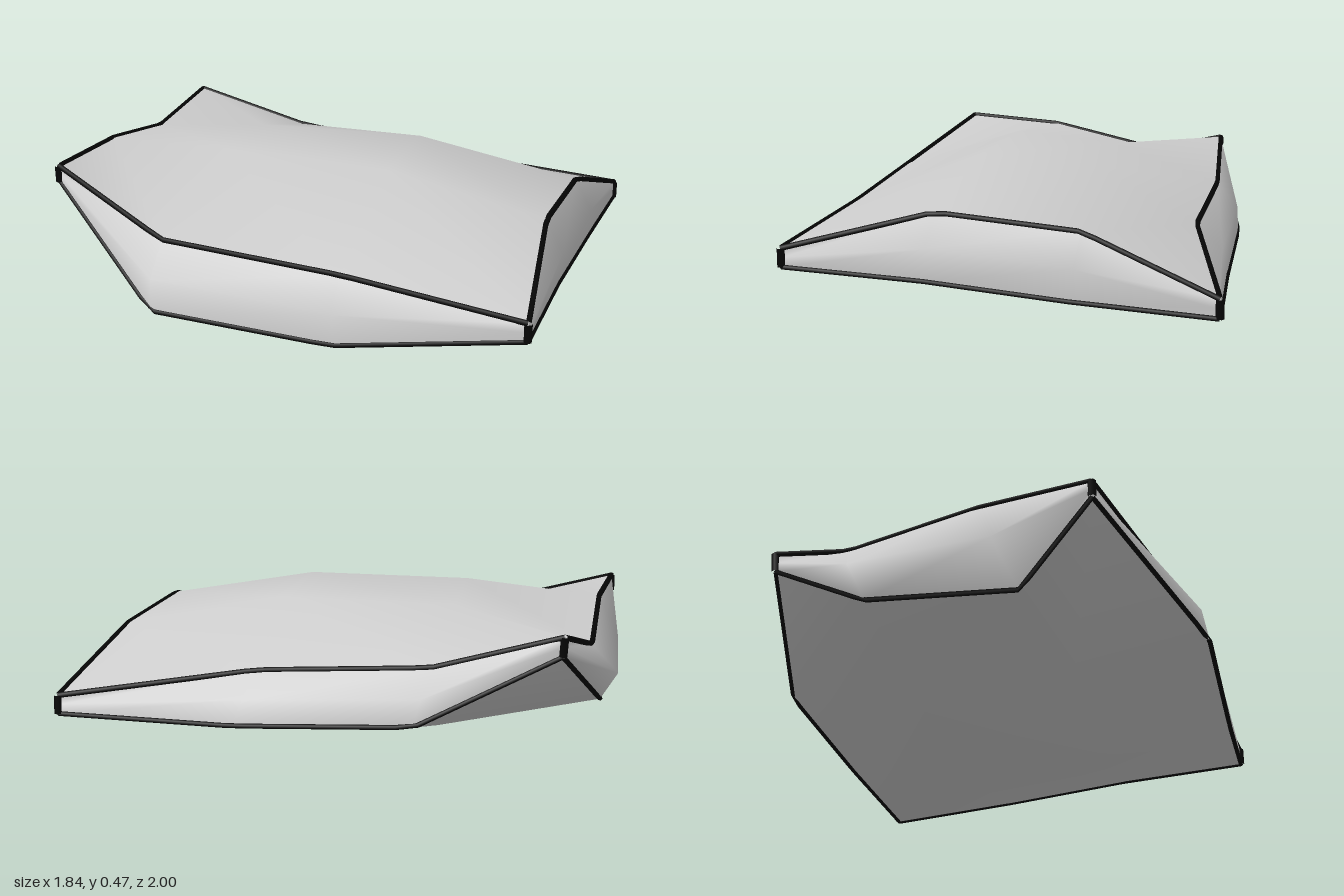
import * as THREE from 'three';

const V = (x, y, z) => new THREE.Vector3(x, y, z);

// Seams run corner to corner: front, right, back, left
const topSeams = [
  [V(-0.29, 0.26, 0.985), V(0.1, 0.38, 0.7), V(0.5, 0.34, 0.48), V(0.905, 0.17, 0.33)],
  [V(0.905, 0.17, 0.33), V(0.48, 0.26, -0.15), V(0.22, 0.3, -0.65), V(0, 0.41, -0.99)],
  [V(0, 0.41, -0.99), V(-0.26, 0.345, -0.91), V(-0.6, 0.44, -0.7), V(-0.91, 0.465, -0.54)],
  [V(-0.91, 0.465, -0.54), V(-0.83, 0.33, -0.08), V(-0.54, 0.3, 0.44), V(-0.29, 0.26, 0.985)],
];
const bottomSeams = [
  [V(-0.29, 0.2, 0.985), V(0.1, 0.175, 0.76), V(0.5, 0.135, 0.54), V(0.905, 0.11, 0.33)],
  [V(0.905, 0.11, 0.33), V(0.6, 0.1, -0.16), V(0.31, 0.13, -0.66), V(0, 0.35, -0.985)],
  [V(0, 0.35, -0.985), V(-0.33, 0.155, -0.9), V(-0.7, 0.15, -0.63), V(-0.91, 0.41, -0.54)],
  [V(-0.91, 0.41, -0.54), V(-0.92, 0.13, -0.03), V(-0.61, 0.1, 0.48), V(-0.29, 0.2, 0.985)],
];
const bulges = [0.035, 0.035, 0.07, 0.035];

// Smooth surface through a grid of points
function gridGeometry(rows) {
  const n = rows[0].length;
  const index = [];
  for (let r = 0; r < rows.length - 1; r++) {
    for (let c = 0; c < n - 1; c++) {
      const a = r * n + c, b = a + 1, d = a + n, e = d + 1;
      index.push(a, b, e, a, e, d);
    }
  }
  const geometry = new THREE.BufferGeometry().setFromPoints(rows.flat());
  geometry.setIndex(index);
  geometry.computeVertexNormals();
  return geometry;
}

// Panel bounded by four seams, with four puffed inner points
function panelRows([front, right, back, left], inner) {
  return [
    front,
    [left[2], inner[0], inner[1], right[1]],
    [left[1], inner[3], inner[2], right[2]],
    [back[3], back[2], back[1], back[0]],
  ];
}

// Side band bulging outward between its two seams
function sideRows(low, high, bulge) {
  const run = low[3].clone().sub(low[0]);
  const out = V(-run.z, 0, run.x).normalize();
  const middle = low.map((p, i) => {
    const m = p.clone().lerp(high[i], 0.5);
    return i === 0 || i === 3 ? m : m.addScaledVector(out, bulge);
  });
  return [low, middle, high];
}

// Thin cord along straight stretches
function pipingGeometry(points, radius) {
  const path = new THREE.CurvePath();
  for (let i = 0; i < points.length - 1; i++) {
    path.add(new THREE.LineCurve3(points[i], points[i + 1]));
  }
  return new THREE.TubeGeometry(path, (points.length - 1) * 8, radius, 6, false);
}

export function createModel() {
  const group = new THREE.Group();
  group.name = 'cushion';
  const fabric = new THREE.MeshStandardMaterial({ color: 0xcccccc });
  fabric.name = 'light grey fabric';
  const cord = new THREE.MeshStandardMaterial({ color: 0x050505 });
  cord.name = 'black piping';

  const add = (name, geometry, material) => {
    const mesh = new THREE.Mesh(geometry, material);
    mesh.name = name;
    group.add(mesh);
  };

  // Top and bottom panels
  const topInner = [V(-0.15, 0.475, 0.23), V(0.2, 0.445, 0.02), V(-0.12, 0.435, -0.46), V(-0.42, 0.475, -0.27)];
  const bottomInner = [V(-0.23, 0, 0.27), V(0.19, 0, 0), V(-0.08, 0.03, -0.43), V(-0.53, 0.02, -0.22)];
  add('topPanel', gridGeometry(panelRows(topSeams, topInner)), fabric);
  add('bottomPanel', gridGeometry(panelRows(bottomSeams, bottomInner).reverse()), fabric);

  // Side bands, their seam piping and the corner piping
  ['front', 'right', 'back', 'left'].forEach((side, i) => {
    const low = bottomSeams[i], high = topSeams[i];
    add(side + 'Band', gridGeometry(sideRows(low, high, bulges[i])), fabric);
    add(side + 'TopPiping', pipingGeometry(high, 0.009), cord);
    add(side + 'BottomPiping', pipingGeometry(low, 0.008), cord);
    add(side + 'CornerPiping', pipingGeometry([low[0], high[0]], 0.013), cord);
  });
  return group;
}
